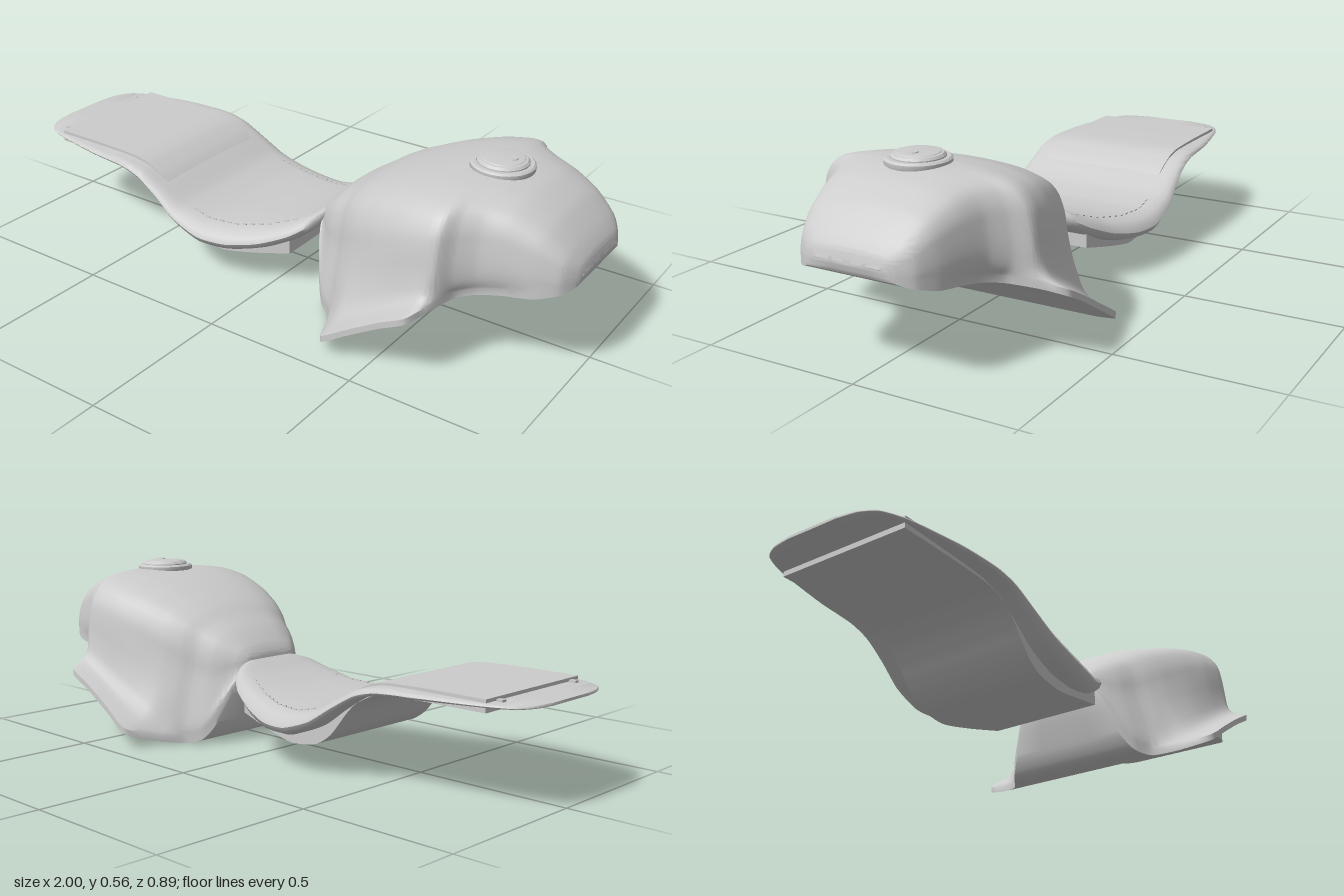
import * as THREE from 'three';
import { toCreasedNormals } from 'three/addons/utils/BufferGeometryUtils.js';

const V = (x, y, z) => new THREE.Vector3(x, y, z);

// Smooth curve through a few [x, y] pairs, read as y at a given x
function heightAt(pairs, x) {
  let i = 0;
  while (i < pairs.length - 2 && x > pairs[i + 1][0]) i++;
  const [a, b] = [pairs[i], pairs[i + 1]];
  return THREE.MathUtils.lerp(a[1], b[1], THREE.MathUtils.clamp((x - a[0]) / (b[0] - a[0]), 0, 1));
}

// Closed skin over mirrored cross-sections placed along x.
// profile(section) gives the +z half from bottom centre to top centre as [z, y].
function loft(sections, profile, steps, crease = 0.7, smooth = true) {
  const rings = sections.map((s) => {
    const half = profile(s);
    const other = half.slice(1, -1).reverse().map(([z, y]) => [-z, y]);
    return [...half, ...other].map(([z, y]) => V(s[0], y, z));
  });
  const n = rings[0].length;
  let rows = rings;
  if (smooth) {
    const columns = rings[0].map((_, j) => new THREE.CatmullRomCurve3(rings.map((r) => r[j]), false, 'catmullrom', 0.35));
    rows = Array.from({ length: steps + 1 }, (_, i) => columns.map((c) => c.getPoint(i / steps)));
  }
  const index = [];
  for (let i = 0; i < rows.length - 1; i++) {
    for (let j = 0; j < n; j++) {
      const k = (j + 1) % n;
      const a = i * n + j, b = a + n, c = i * n + k, d = c + n;
      index.push(a, b, c, b, d, c);
    }
  }
  // end caps
  const last = (rows.length - 1) * n;
  for (let j = 1; j < n - 1; j++) index.push(0, j, j + 1, last, last + j + 1, last + j);
  const geo = new THREE.BufferGeometry().setFromPoints(rows.flat());
  geo.setIndex(index);
  return toCreasedNormals(geo, crease);
}

// Tank: x, bottom, top, half width of the bottom edge, half width of the wall
const TANK = [
  [0.138, 0.262, 0.262, 0.08, 0.08], [0.143, 0.22, 0.288, 0.13, 0.13],
  [0.16, 0.15, 0.315, 0.165, 0.165], [0.19, 0.06, 0.345, 0.205, 0.205],
  [0.22, 0.015, 0.37, 0.235, 0.235], [0.27, 0.002, 0.403, 0.27, 0.268],
  [0.31, 0.015, 0.43, 0.345, 0.3], [0.36, 0.045, 0.455, 0.44, 0.325],
  [0.45, 0.1, 0.49, 0.44, 0.345], [0.55, 0.16, 0.517, 0.44, 0.355],
  [0.635, 0.205, 0.529, 0.44, 0.36], [0.67, 0.225, 0.53, 0.37, 0.35],
  [0.7, 0.235, 0.53, 0.285, 0.305], [0.75, 0.247, 0.525, 0.25, 0.265],
  [0.82, 0.258, 0.507, 0.23, 0.24], [0.9, 0.268, 0.465, 0.215, 0.215],
  [0.96, 0.285, 0.41, 0.185, 0.185], [0.99, 0.302, 0.37, 0.14, 0.14],
  [1.0, 0.335, 0.335, 0.1, 0.1],
];

function tankProfile([x, yb, yt, wb, wm]) {
  const h = yt - yb;
  const k = THREE.MathUtils.lerp(0.86, 1, THREE.MathUtils.smoothstep(x, 0.25, 0.6));
  const side = new THREE.CatmullRomCurve3([
    V(wb, yb + Math.min(0.02, h * 0.1), 0),
    V(wm + (wb - wm) * 0.25, yb + Math.min(0.048, h * 0.2), 0),
    V(wm * (k + 1) / 2, yb + h * 0.33, 0),
    V(wm * 0.97 * k, yb + h * 0.58, 0),
    V(wm * 0.93 * k, yb + h * 0.74, 0),
    V(wm * 0.82 * k, yb + h * 0.885, 0),
    V(wm * 0.56 * k, yb + h * 0.965, 0),
    V(wm * 0.27 * k, yb + h * 0.993, 0),
    V(0, yt, 0),
  ]);
  return [[0, yb], [wb * 0.5, yb], [wb, yb], ...side.getPoints(26).map((p) => [Math.max(0, p.x), p.y])];
}

// Cushion and thin tail plate: x, bottom, top, half width
const CUSHION = [
  [-1.0, 0.298, 0.306, 0.09], [-0.99, 0.298, 0.306, 0.15], [-0.96, 0.298, 0.306, 0.2],
  [-0.88, 0.297, 0.308, 0.235], [-0.7, 0.292, 0.309, 0.268], [-0.56, 0.285, 0.307, 0.278],
  [-0.48, 0.262, 0.292, 0.283], [-0.4, 0.212, 0.252, 0.29], [-0.32, 0.155, 0.21, 0.3],
  [-0.22, 0.115, 0.188, 0.303], [-0.12, 0.11, 0.188, 0.285], [-0.02, 0.13, 0.203, 0.25],
  [0.07, 0.17, 0.234, 0.213], [0.12, 0.205, 0.26, 0.175], [0.143, 0.228, 0.272, 0.125],
  [0.152, 0.25, 0.268, 0.07],
];

function cushionProfile([, yb, yt, w]) {
  const h = yt - yb, r = Math.min(h * 0.9, w * 0.4);
  return [[0, yb], [w - r * 0.6, yb], [w - r * 0.15, yb + h * 0.15], [w, yb + h * 0.38],
    [w - r * 0.12, yb + h * 0.62], [w - r * 0.4, yb + h * 0.82], [w - r * 0.85, yb + h * 0.94],
    [w - r * 1.3, yb + h * 0.98], [w * 0.3, yt], [0, yt]];
}

// Raised rear pad and the tray running under the whole seat: x, bottom, top, half width
const TRAY = [
  [-0.885, 0.281, 0.318, 0.222], [-0.7, 0.281, 0.318, 0.222], [-0.56, 0.278, 0.314, 0.222],
  [-0.5, 0.268, 0.304, 0.222], [-0.44, 0.238, 0.277, 0.222], [-0.4, 0.2, 0.25, 0.222],
  [-0.34, 0.128, 0.2, 0.222], [-0.28, 0.09, 0.17, 0.222], [-0.18, 0.076, 0.15, 0.222],
  [-0.06, 0.097, 0.15, 0.21], [0.065, 0.125, 0.19, 0.19],
];
const boxProfile = ([, yb, yt, w]) => [[0, yb], [w, yb], [w, yt], [0, yt]];

export function createModel() {
  const model = new THREE.Group();
  model.name = 'tankAndSeat';
  const grey = new THREE.MeshStandardMaterial({ color: 0xcccccc });
  grey.name = 'light grey';

  const add = (parent, name, geometry) => {
    const mesh = new THREE.Mesh(geometry, grey);
    mesh.name = name;
    parent.add(mesh);
    return mesh;
  };

  add(model, 'fuelTank', loft(TANK, tankProfile, 110, 0.75));

  // Filler cap with collar, lid and keyhole cover
  const cap = new THREE.Group();
  cap.name = 'fillerCap';
  cap.position.set(0.68, 0.512, 0);
  cap.rotation.z = -0.01;
  model.add(cap);
  const lathe = (pts) => toCreasedNormals(
    new THREE.LatheGeometry(pts.map(([r, y]) => new THREE.Vector2(r, y)), 48), 0.5);
  add(cap, 'capCollar', lathe([[0.088, 0], [0.094, 0.012], [0.094, 0.024], [0.088, 0.029], [0.077, 0.029], [0.075, 0.024]]));
  add(cap, 'capLid', lathe([[0.076, 0.02], [0.076, 0.032], [0.07, 0.039], [0.062, 0.04], [0.06, 0.042], [0.04, 0.044], [0, 0.045]]));
  add(cap, 'keyholeCover', new THREE.CylinderGeometry(0.016, 0.018, 0.006, 24)).position.set(0.027, 0.044, 0);

  // Seat
  const seat = new THREE.Group();
  seat.name = 'seat';
  model.add(seat);
  add(seat, 'seatCushion', loft(CUSHION, cushionProfile, 90, 0.8));
  add(seat, 'rearPadAndTray', loft(TRAY, boxProfile, 60, 0.6));

  // Stitches along both edges of the seat
  const tops = CUSHION.map((s) => [s[0], s[2]]);
  const widths = CUSHION.map((s) => [s[0], s[3]]);
  const stitch = new THREE.BoxGeometry(0.016, 0.004, 0.004);
  const stitchRow = (from, to, inset) => {
    for (let x = from; x <= to; x += 0.026) {
      const slope = (heightAt(tops, x + 0.01) - heightAt(tops, x - 0.01)) / 0.02;
      for (const side of [1, -1]) {
        const mesh = add(seat, 'stitch', stitch);
        mesh.position.set(x, heightAt(tops, x) - 0.003, side * (heightAt(widths, x) - inset));
        mesh.rotation.z = Math.atan(slope);
      }
    }
  };
  stitchRow(-0.5, -0.4, 0.055);
  stitchRow(-0.28, 0.07, 0.068);

  // Small fasteners at the back corners of the pad
  for (const side of [1, -1]) {
    add(seat, 'padFastener', new THREE.BoxGeometry(0.02, 0.012, 0.016)).position.set(-0.9, 0.308, side * 0.175);
  }
  return model;
}
